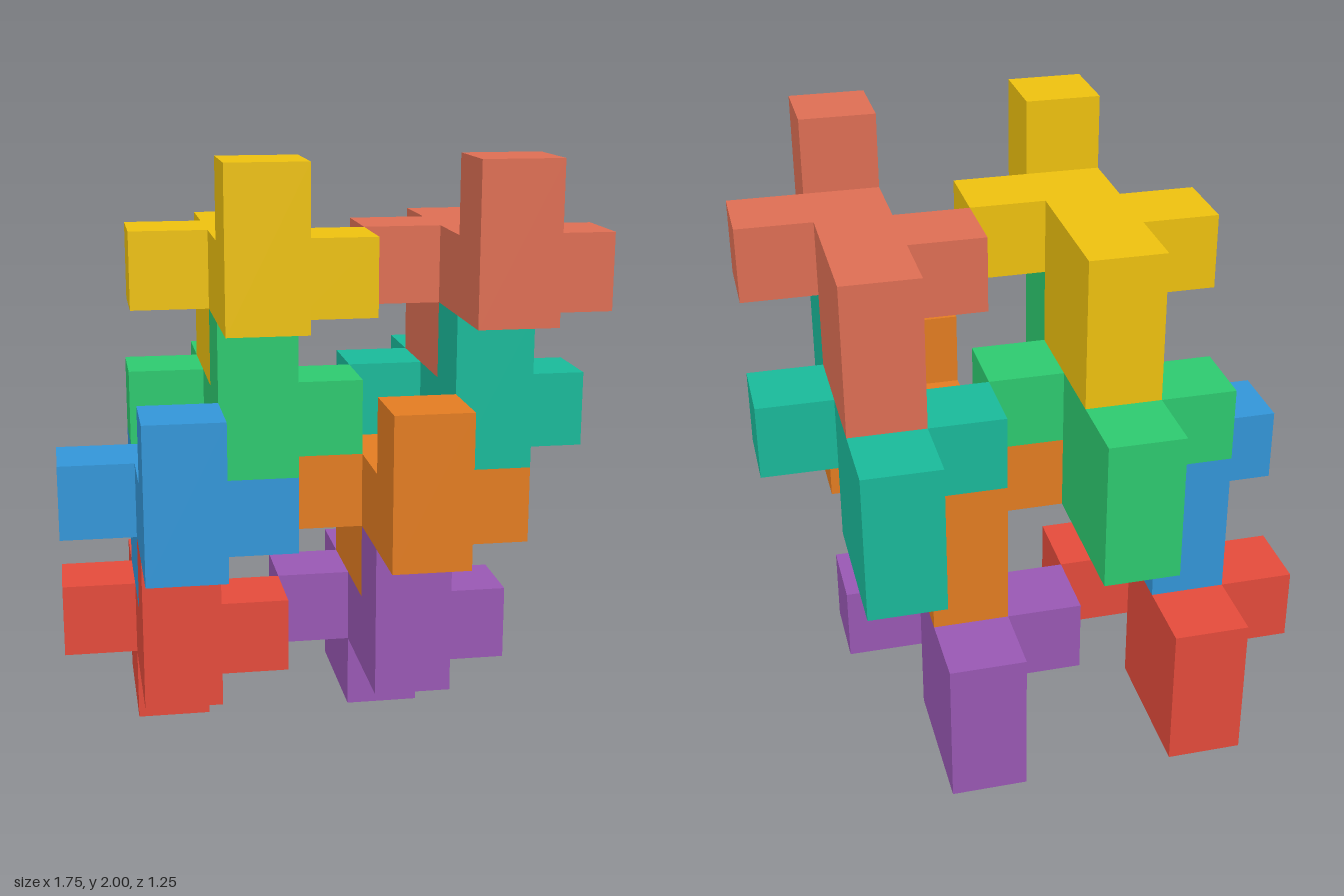
import * as THREE from 'three';

const U = 0.25; // edge of one cube cell

// Side profile of a piece's spine in cells (z, y), measured from the back of its middle row
const PROFILE = [[0, -1], [2, -1], [2, 0], [4, 0], [4, 2], [3, 2], [3, 1], [0, 1]];

// name, colour, and cell of the spine's rear cube: x, y, z
const PIECES = [
  ['redPiece', 0xe74c3c, -2, 1, -2],
  ['purplePiece', 0x9b59b6, 1, 1, -2],
  ['bluePiece', 0x3498db, -2, 3, -1],
  ['orangePiece', 0xe67e22, 1, 3, -1],
  ['greenPiece', 0x2ecc71, -1, 4, -2],
  ['tealPiece', 0x1abc9c, 2, 4, -2],
  ['yellowPiece', 0xf1c40f, -1, 6, -1],
  ['coralPiece', 0xe17055, 2, 6, -1],
];

function createPiece(name, color, x, y, z) {
  const piece = new THREE.Group();
  piece.name = name;
  const material = new THREE.MeshStandardMaterial({ color });

  // Spine: profile extruded one cell wide along x
  const shape = new THREE.Shape(PROFILE.map(([a, b]) => new THREE.Vector2(a * U, b * U)));
  const spineGeometry = new THREE.ExtrudeGeometry(shape, { depth: U, bevelEnabled: false });
  spineGeometry.rotateY(-Math.PI / 2).translate(U / 2, 0, 0);
  const spine = new THREE.Mesh(spineGeometry, material);
  spine.name = 'spine';
  piece.add(spine);

  // Two staggered side cubes
  for (const [wingName, side, row] of [['leftWing', 1, 2], ['rightWing', -1, 1]]) {
    const wing = new THREE.Mesh(new THREE.BoxGeometry(U, U, U), material);
    wing.name = wingName;
    wing.position.set(side * U, U / 2, (row + 0.5) * U);
    piece.add(wing);
  }

  piece.position.set(x * U, y * U, (z - 0.5) * U);
  return piece;
}

export function createModel() {
  const model = new THREE.Group();
  model.name = 'interlockingPieces';
  for (const piece of PIECES) model.add(createPiece(...piece));
  return model;
}
